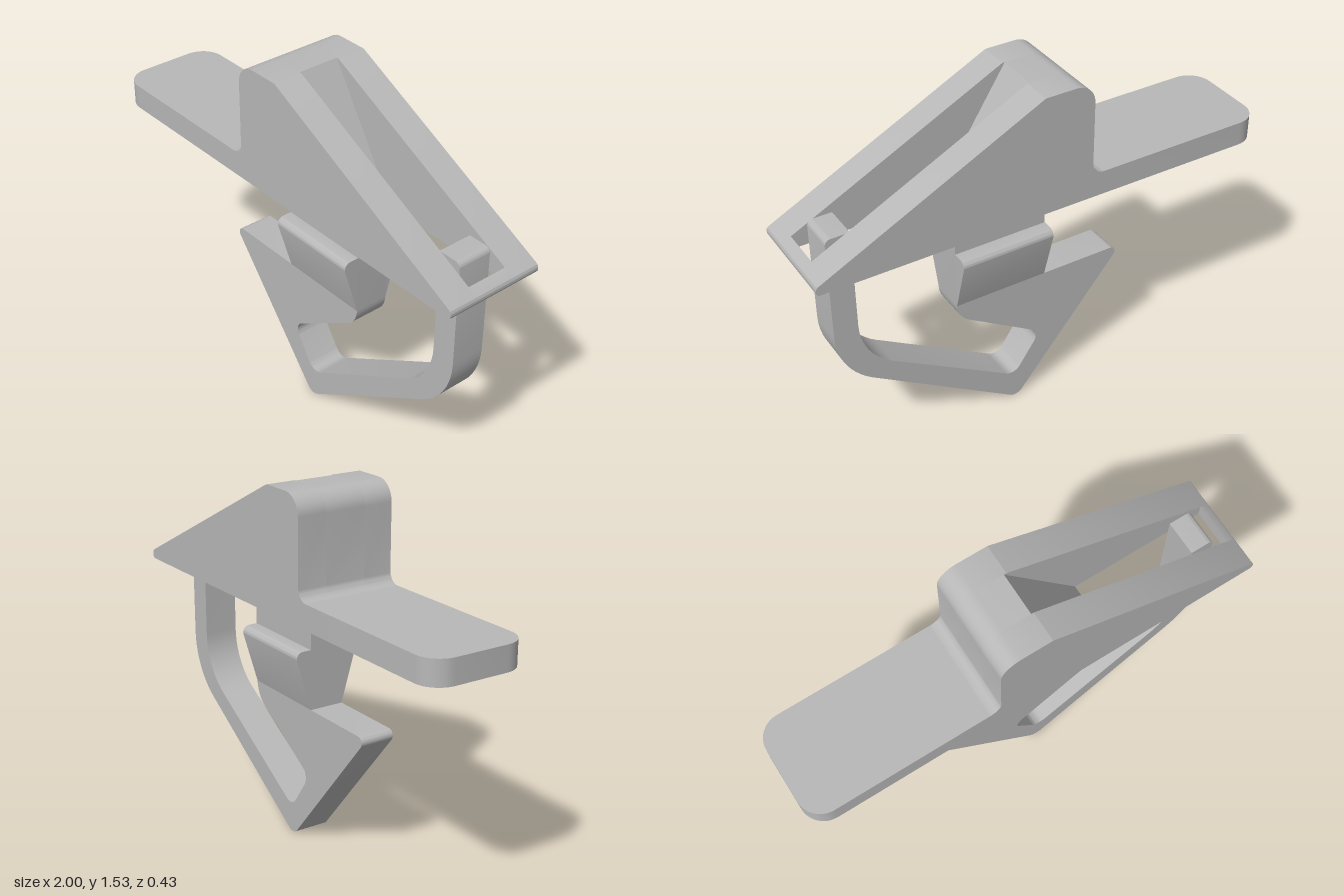
import * as THREE from 'three';
import { toCreasedNormals } from 'three/addons/utils/BufferGeometryUtils.js';

const plastic = new THREE.MeshStandardMaterial({ color: 0xb8b8b8 });
plastic.name = 'grey plastic';

// Closed outline from [x, y, cornerRadius] points
function rounded(points) {
  const shape = new THREE.Shape();
  const n = points.length;
  points.forEach(([x, y, r = 0], i) => {
    const p = new THREE.Vector2(x, y);
    const a = new THREE.Vector2(...points[(i + n - 1) % n].slice(0, 2)).sub(p).normalize();
    const b = new THREE.Vector2(...points[(i + 1) % n].slice(0, 2)).sub(p).normalize();
    const turn = Math.PI - Math.acos(THREE.MathUtils.clamp(a.dot(b), -1, 1));
    const t = r * Math.tan(turn / 2);
    const start = p.clone().addScaledVector(a, t);
    if (i === 0) shape.moveTo(start.x, start.y);
    else shape.lineTo(start.x, start.y);
    if (r > 0) {
      const h = t - r * (4 / 3) * Math.tan(turn / 4);
      const c1 = p.clone().addScaledVector(a, h);
      const c2 = p.clone().addScaledVector(b, h);
      const end = p.clone().addScaledVector(b, t);
      shape.bezierCurveTo(c1.x, c1.y, c2.x, c2.y, end.x, end.y);
    }
  });
  shape.closePath();
  return shape;
}

// Extrude an outline from depth z0 to z1
function slab(points, z0, z1) {
  const g = new THREE.ExtrudeGeometry(rounded(points), {
    depth: z1 - z0, bevelEnabled: false, curveSegments: 10,
  });
  g.translate(0, 0, z0);
  return g;
}

function part(parent, name, geometry) {
  const mesh = new THREE.Mesh(toCreasedNormals(geometry, 0.5), plastic);
  mesh.name = name;
  parent.add(mesh);
}

export function createModel() {
  const model = new THREE.Group();
  model.name = 'leverClip';
  const W = 0.217, SLOT = 0.09, ARM = 0.075, BASE = 1.015;

  // Wedge housing: two cheeks around a slot with a sloped inner end
  const housing = new THREE.Group();
  housing.name = 'housing';
  model.add(housing);
  const back = [[-0.23, BASE], [-0.23, 1.12], [-0.178, 1.12, 0.05], [-0.178, 1.53, 0.085]];
  const cheek = [...back, [0.04, 1.53, 0.03], [1, 1.05, 0.018], [1, BASE, 0.015]];
  part(housing, 'leftCheek', slab(cheek, SLOT, W));
  part(housing, 'rightCheek', slab(cheek, -W, -SLOT));
  part(housing, 'slotBackBlock', slab([...back, [0.03, 1.53], [0.36, BASE]], -SLOT, SLOT));
  part(housing, 'noseBar', slab(
    [[0.955, BASE], [0.955, 1.0725], [1, 1.05, 0.018], [1, BASE, 0.015]], -SLOT, SLOT));

  // Flat finger tab with rounded outer corners
  const tab = slab([[-1, -W, 0.1], [-0.23, -W], [-0.23, W], [-1, W, 0.1]], BASE, 1.12);
  tab.rotateX(-Math.PI / 2);
  part(housing, 'fingerTab', tab);

  // Stem, barbed hook and spring arm in one continuous outline
  part(model, 'hookAndSpringArm', slab([
    [-0.05, BASE], [-0.05, 0.6], [-0.43, 0.6, 0.025], [0.084, -0.015, 0.045],
    [0.893, 0.497, 0.32], [0.893, 1.13, 0.025], [0.79, 1.13], [0.79, 0.53, 0.28],
    [0.095, 0.113, 0.05], [-0.032, 0.298, 0.05], [0.36, 0.541, 0.11], [0.36, BASE],
  ], -ARM, ARM));

  // Tapered snap wings on both faces of the stem
  for (const [name, s] of [['leftSnapWing', -1], ['rightSnapWing', 1]]) {
    const wing = slab([[s * ARM, 0.6], [s * 0.151, 0.857, 0.028], [s * ARM, 0.857]], -0.05, 0.36);
    wing.rotateY(Math.PI / 2);
    part(model, name, wing);
  }
  return model;
}
